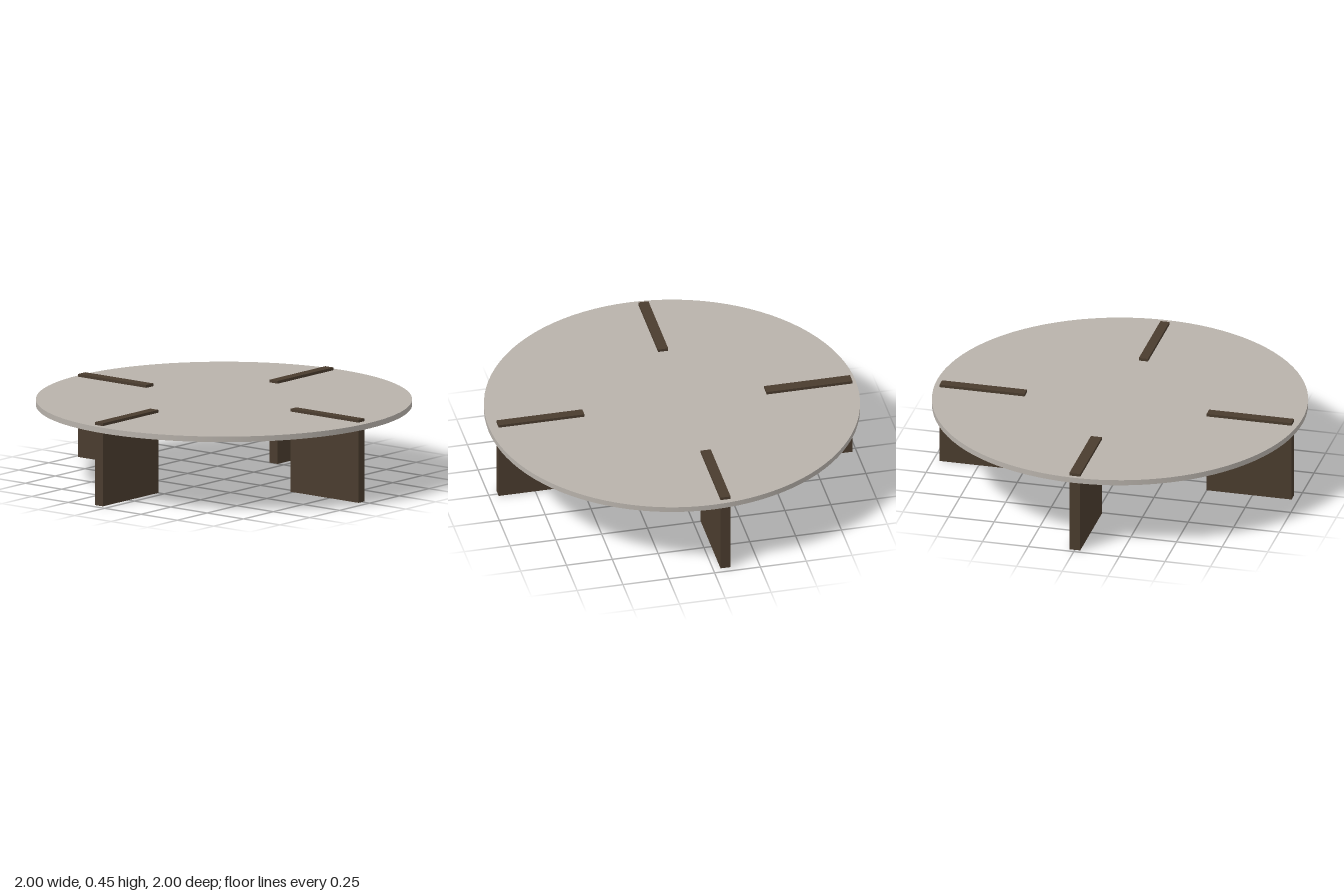
import * as THREE from 'three';

export function createModel() {
  const model = new THREE.Group();
  model.name = 'roundTable';

  const stone = new THREE.MeshStandardMaterial({ color: 0xb8b2ab });
  stone.name = 'paleStone';
  const wood = new THREE.MeshStandardMaterial({ color: 0x4a3c2e });
  wood.name = 'darkWood';

  // Thin round top
  const top = new THREE.Mesh(new THREE.CylinderGeometry(1, 1, 0.03, 96), stone);
  top.name = 'tableTop';
  top.position.y = 0.42;
  model.add(top);

  // Four upright panels that pass through the top and stand slightly proud of it
  const height = 0.45;
  const legs = [
    // name, width, depth, x, z
    ['leftLeg', 0.466, 0.055, 0.732, -0.068],
    ['rightLeg', 0.466, 0.055, -0.732, -0.068],
    ['frontLeg', 0.05, 0.468, -0.006, 0.716],
    ['backLeg', 0.06, 0.468, 0, -0.744],
  ];
  for (const [name, width, depth, x, z] of legs) {
    const leg = new THREE.Mesh(new THREE.BoxGeometry(width, height, depth), wood);
    leg.name = name;
    leg.position.set(x, height / 2, z);
    model.add(leg);
  }

  return model;
}
